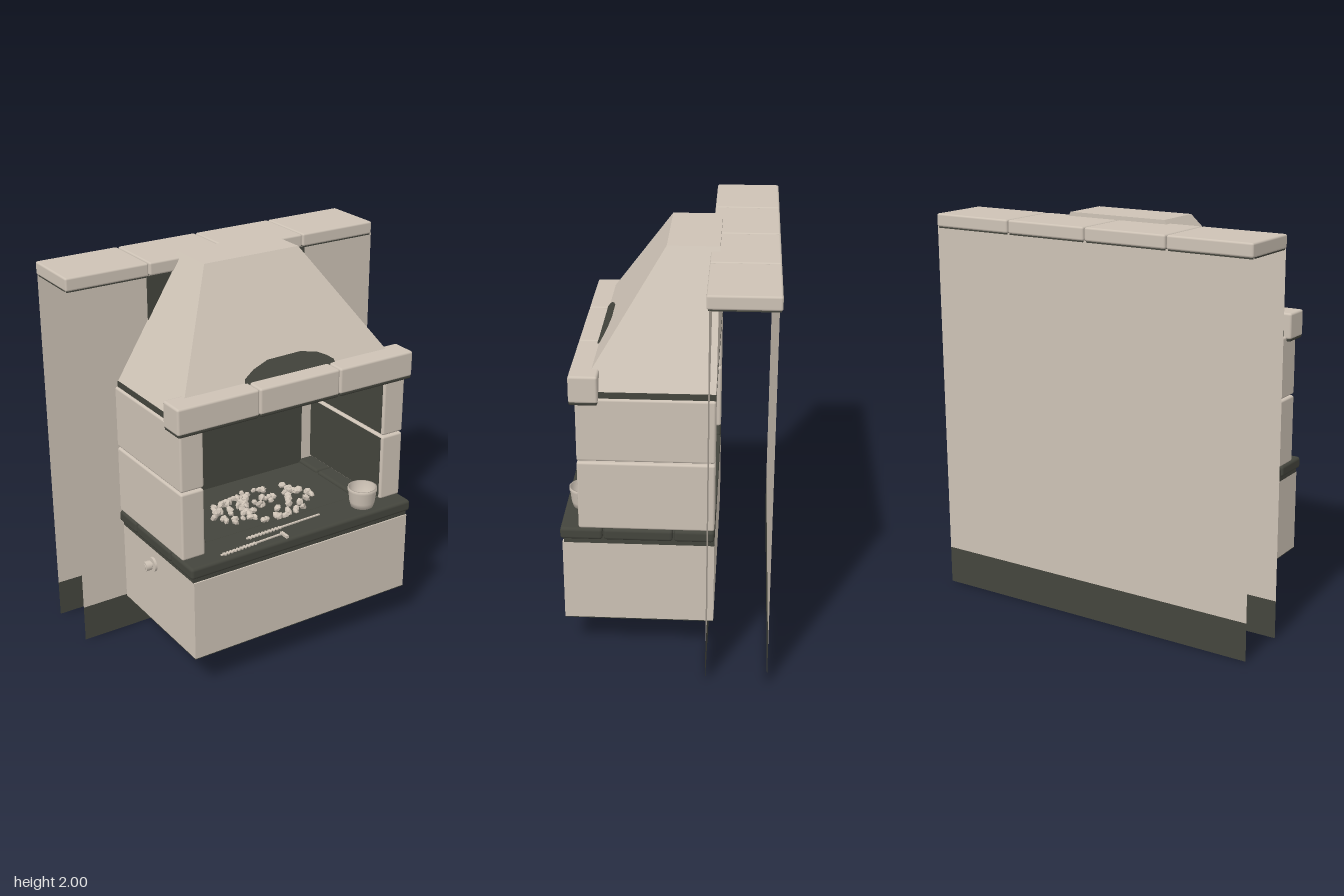
import * as THREE from 'three';
import { RoundedBoxGeometry } from 'three/addons/geometries/RoundedBoxGeometry.js';

export function createModel() {
  const model = new THREE.Group();
  model.name = 'outdoorFireplace';
  const stone = new THREE.MeshStandardMaterial({ color: 0xcdc2b5 });
  const soot = new THREE.MeshStandardMaterial({ color: 0x44453d });
  const stoneSheet = new THREE.MeshStandardMaterial({ color: 0xcdc2b5, side: THREE.DoubleSide });
  const sootSheet = new THREE.MeshStandardMaterial({ color: 0x44453d, side: THREE.DoubleSide });
  stone.name = 'stone';
  soot.name = 'soot';
  stoneSheet.name = 'stoneSheet';
  sootSheet.name = 'sootSheet';

  function add(name, geometry, material, x = 0, y = 0, z = 0) {
    const mesh = new THREE.Mesh(geometry, material);
    mesh.name = name;
    mesh.position.set(x, y, z);
    model.add(mesh);
    return mesh;
  }
  // Boxes are given by their limits on each axis; a radius rounds the edges
  function block(name, material, [x0, x1], [y0, y1], [z0, z1], radius = 0) {
    const size = [x1 - x0, y1 - y0, z1 - z0];
    const geometry = radius
      ? new RoundedBoxGeometry(...size, 2, radius)
      : new THREE.BoxGeometry(...size);
    return add(name, geometry, material, (x0 + x1) / 2, (y0 + y1) / 2, (z0 + z1) / 2);
  }

  // Rear wall: two open sheets with a dark foot, front and back
  for (const [side, z] of [['Front', -0.2], ['Back', -0.5]]) {
    add('wall' + side, new THREE.PlaneGeometry(1.79, 1.72), stoneSheet, -0.003, 1.055, z);
    add('wallFoot' + side, new THREE.PlaneGeometry(1.79, 0.195), sootSheet, -0.003, 0.0975, z);
  }
  block('firebackPanel', soot, [-0.465, 0.46], [0.66, 1.912], [-0.2, -0.194]);

  // Coping stones on the wall
  for (let i = 0; i < 4; i++) {
    const x = -0.898 + i * 0.4475;
    block('copingStone', stone, [x, x + 0.441], [1.914, 1.98], [-0.515, -0.187], 0.01);
    block('copingUnderside', soot, [x + 0.006, x + 0.435], [1.908, 1.915], [-0.508, -0.194]);
  }

  // Base with dark underside
  block('base', stone, [-0.645, 0.643], [0.187, 0.612], [-0.23, 0.507]);
  block('baseUnderside', soot, [-0.645, 0.643], [0.183, 0.187], [-0.23, 0.507]);

  // Hearth slabs
  block('hearthBed', soot, [-0.645, 0.643], [0.612, 0.68], [-0.23, 0.5]);
  block('hearthFront', soot, [-0.662, 0.658], [0.636, 0.697], [0.309, 0.516], 0.016);
  for (const s of [-1, 1]) {
    const xs = s < 0 ? [-0.662, -0.45] : [0.45, 0.658];
    block('hearthSide', soot, xs, [0.636, 0.697], [-0.03, 0.305], 0.016);
    block('hearthSide', soot, xs, [0.636, 0.697], [-0.23, -0.036], 0.016);
  }

  // Side walls of the firebox, with sooty inner faces
  for (const s of [-1, 1]) {
    for (const [y0, y1] of [[0.698, 1.052], [1.06, 1.38]]) {
      const xs = s < 0 ? [-0.658, -0.532] : [0.528, 0.654];
      const inner = s < 0 ? [-0.534, -0.528] : [0.524, 0.53];
      block('sideBlock', stone, xs, [y0, y1], [-0.23, 0.425], 0.011);
      block('sootLining', soot, inner, [y0 + 0.01, y1 - 0.01], [-0.2, 0.41]);
    }
  }
  block('hoodSeat', soot, [-0.645, 0.642], [1.38, 1.41], [-0.23, 0.33]);

  // Lintel stones above the opening
  for (const xs of [[-0.682, -0.238], [-0.234, 0.226], [0.23, 0.676]]) {
    block('lintelStone', stone, xs, [1.366, 1.5], [0.314, 0.452], 0.012);
    block('lintelUnderside', soot, [xs[0] + 0.003, xs[1] - 0.003], [1.354, 1.378], [0.317, 0.451], 0.01);
  }

  // Hood: a box drawn in at the top, with an upright back
  const hood = new THREE.BoxGeometry(1, 1, 1);
  const p = hood.attributes.position;
  for (let i = 0; i < p.count; i++) {
    const top = p.getY(i) > 0;
    const front = p.getZ(i) > 0;
    p.setXYZ(i, Math.sign(p.getX(i)) * (top ? 0.27 : 0.642), top ? 2 : 1.405,
      front ? (top ? 0.02 : 0.412) : -0.23);
  }
  hood.computeVertexNormals();
  add('hood', hood, stone, -0.002);

  // Smoke mark lying on the sloping hood front
  const tilt = Math.atan2(0.392, 0.595);
  const stretch = 1 / Math.cos(tilt);
  const outline = [[-0.26, -0.02], [-0.25, 0.015], [-0.19, 0.045], [-0.1, 0.07], [0.09, 0.073],
    [0.18, 0.055], [0.23, 0.032], [0.262, 0.01], [0.262, -0.02]];
  const mark = new THREE.Shape(outline.map(([x, y]) => new THREE.Vector2(x, y * stretch)));
  add('smokeMark', new THREE.ExtrudeGeometry(mark, { depth: 0.006, bevelEnabled: false }),
    soot, 0, 1.5, 0.3495).rotation.x = -tilt;

  // Coals heaped on the hearth
  let seed = 7;
  const rand = () => (seed = (seed * 16807) % 2147483647) / 2147483647;
  const coal = new THREE.IcosahedronGeometry(0.022, 0);
  for (let i = 0; i < 95; i++) {
    const a = rand() * Math.PI * 2;
    const r = Math.sqrt(rand());
    const lump = add('coal', coal, stone, -0.01 + Math.cos(a) * r * 0.29,
      0.688 + rand() * 0.014, 0.13 + Math.sin(a) * r * 0.18);
    lump.rotation.set(rand() * 3, rand() * 3, rand() * 3);
    lump.scale.set(0.7 + rand() * 0.5, 0.55 + rand() * 0.2, 0.7 + rand() * 0.4);
  }

  // Skewers resting on the front slab
  for (const [x, z, length, turn] of [[-0.29, 0.468, 0.37, 0.05], [-0.06, 0.4, 0.45, 0.03]]) {
    const skewer = new THREE.Group();
    skewer.name = 'skewer';
    skewer.position.set(x, 0.702, z);
    skewer.rotation.y = turn;
    const rod = new THREE.Mesh(new THREE.BoxGeometry(length, 0.006, 0.01), stone);
    rod.name = 'skewerRod';
    skewer.add(rod);
    for (let i = 0; i < 10; i++) {
      const tooth = new THREE.Mesh(new THREE.BoxGeometry(0.01, 0.007, 0.022), stone);
      tooth.name = 'skewerTooth';
      tooth.position.x = -length / 2 + 0.02 + i * 0.02;
      skewer.add(tooth);
    }
    model.add(skewer);
  }
  block('skewerRest', stone, [-0.115, -0.1], [0.695, 0.71], [0.45, 0.505]);

  // Open pot
  const potProfile = [[0, 0], [0.058, 0], [0.066, 0.03], [0.072, 0.085], [0.076, 0.09],
    [0.076, 0.106], [0.068, 0.106], [0.06, 0.012], [0, 0.012]];
  add('pot', new THREE.LatheGeometry(potProfile.map(([x, y]) => new THREE.Vector2(x, y)), 24),
    stoneSheet, 0.414, 0.696, 0.42);

  // Tap on the right side of the base
  for (const [x, radius, length] of [[-0.675, 0.014, 0.07], [-0.662, 0.038, 0.012], [-0.692, 0.025, 0.03]]) {
    add('tap', new THREE.CylinderGeometry(radius, radius, length, 16), stone, x, 0.542, 0.13)
      .rotation.z = Math.PI / 2;
  }
  return model;
}
